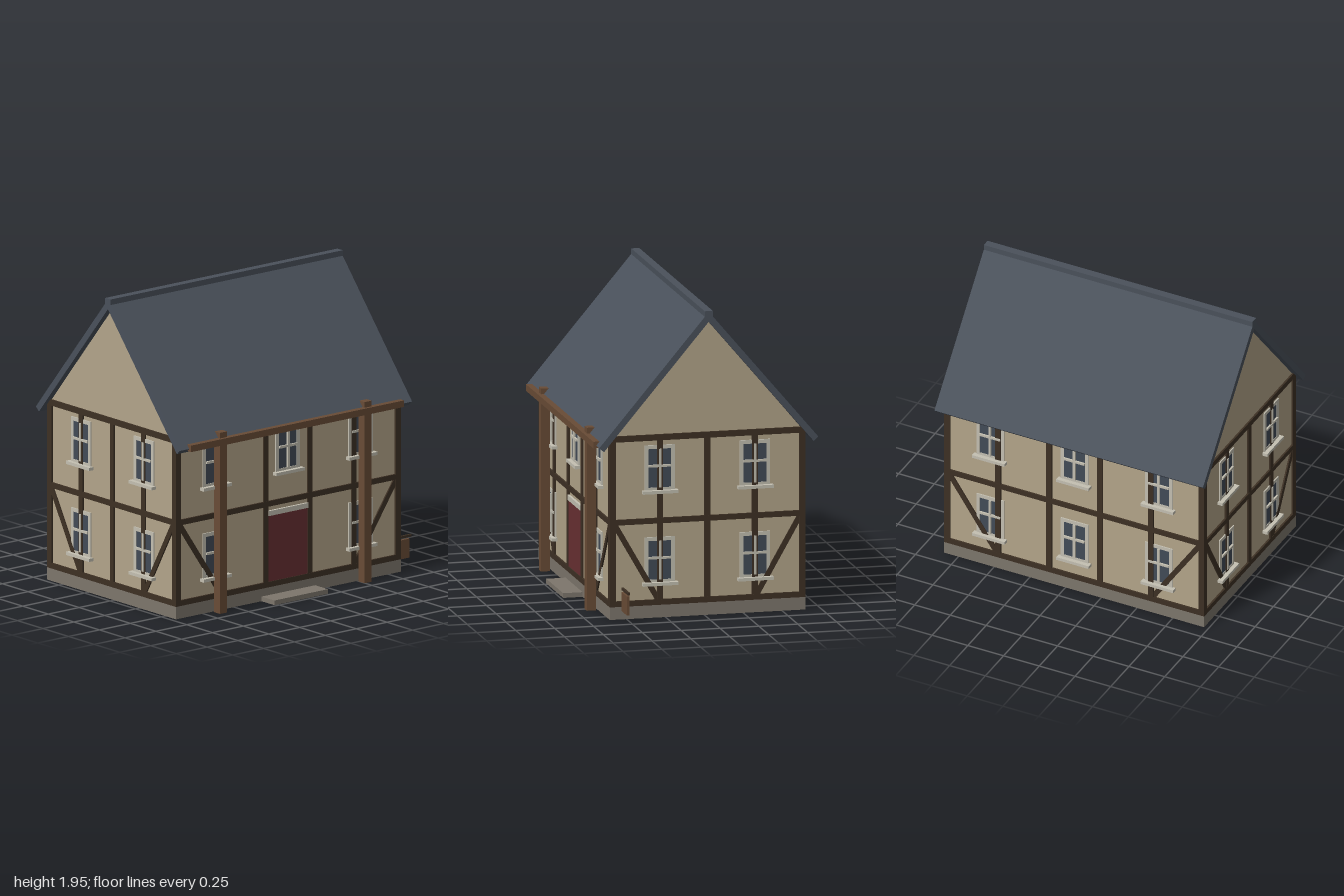
import * as THREE from 'three';

const mat = (name, color) => {
  const m = new THREE.MeshStandardMaterial({ color });
  m.name = name;
  return m;
};

export function createModel() {
  const plaster = mat('plaster', 0xb3a58a);
  const timber = mat('darkTimber', 0x3d3024);
  const slate = mat('slateRoof', 0x4a515b);
  const stone = mat('stone', 0x7d766c);
  const trim = mat('paleTrim', 0xc4c0b2);
  const glass = mat('windowGlass', 0x424b57);
  const red = mat('doorRed', 0x682f32);
  const oak = mat('brownOak', 0x694c36);

  const house = new THREE.Group();
  house.name = 'timberFramedHouse';
  const CX = -0.06, CZ = -0.021, HX = 0.91, HZ = 0.629; // body centre and half sizes
  const INSET = 0.012;                                  // plaster behind timber face

  // Box given by its minimum and maximum corners
  const box = (parent, name, m, x0, x1, y0, y1, z0, z1) => {
    const mesh = new THREE.Mesh(new THREE.BoxGeometry(x1 - x0, y1 - y0, z1 - z0), m);
    mesh.position.set((x0 + x1) / 2, (y0 + y1) / 2, (z0 + z1) / 2);
    mesh.name = name;
    parent.add(mesh);
    return mesh;
  };

  // Profile in z and y, extruded along x about the body centre
  const alongX = (name, m, points, half, x = CX) => {
    const shape = new THREE.Shape(points.map(([a, b]) => new THREE.Vector2(a, b)));
    const geo = new THREE.ExtrudeGeometry(shape, { depth: 2 * half, bevelEnabled: false });
    geo.translate(0, 0, -half).rotateY(Math.PI / 2);
    const mesh = new THREE.Mesh(geo, m);
    mesh.position.set(x, 0, CZ);
    mesh.name = name;
    house.add(mesh);
  };

  // Stone base and plaster body with gables
  box(house, 'stoneBase', stone, CX - HX, CX + HX, 0, 0.08, CZ - HZ, CZ + HZ);
  const w = HZ - INSET;
  alongX('plasterWalls', plaster,
    [[-w, 0.08], [w, 0.08], [w, 1.145], [0, 1.885], [-w, 1.145]], HX - INSET);

  // Roof slabs and ridge cap
  alongX('roof', slate,
    [[0.674, 1.08], [0.704, 1.107], [0, 1.94], [-0.704, 1.107], [-0.674, 1.08], [0, 1.877]], 0.94);
  box(house, 'ridgeCap', slate, -1, 0.88, 1.898, 1.945, CZ - 0.026, CZ + 0.026);

  // Corner posts
  for (const sx of [-1, 1]) for (const sz of [-1, 1]) {
    const px = CX + sx * (HX - 0.02), pz = CZ + sz * (HZ - 0.02);
    box(house, 'cornerPost', timber, px - 0.02, px + 0.02, 0.08, 1.13, pz - 0.02, pz + 0.02);
  }

  // Window in wall coordinates: x along the wall, z outwards from the timber face
  const addWindow = (wall, x, y) => {
    const g = new THREE.Group();
    g.name = 'window';
    g.position.set(x, y, 0);
    wall.add(g);
    const W = 0.097, H = 0.295, T = 0.024;
    box(g, 'glass', glass, -W + T, W - T, T, H - T, -0.014, -0.007);
    for (const s of [-1, 1]) {
      const c = s * (W - T / 2);
      box(g, 'frameSide', trim, c - T / 2, c + T / 2, 0, H, -0.02, -0.004);
    }
    box(g, 'frameTop', trim, -W + T, W - T, H - T, H, -0.02, -0.004);
    box(g, 'frameBottom', trim, -W + T, W - T, 0, T, -0.02, -0.004);
    box(g, 'mullion', trim, -0.008, 0.008, T, H - T, -0.012, 0.004);
    box(g, 'transom', trim, -W + T, W - T, 0.155, 0.17, -0.012, 0.005);
    box(g, 'sill', trim, -0.114, 0.114, -0.012, 0.008, -0.02, 0.023);
  };

  // One framed wall: rails, studs, lower corner braces and windows
  const addWall = (name, angle, half, dist, bays, windows, hasDoor) => {
    const wall = new THREE.Group();
    wall.name = name;
    wall.rotation.y = angle;
    wall.position.set(CX + Math.sin(angle) * dist, 0, CZ + Math.cos(angle) * dist);
    house.add(wall);
    for (const [y0, y1] of [[0.08, 0.115], [0.6, 0.635], [1.13, 1.168]])
      box(wall, 'rail', timber, -half, half, y0, y1, -0.03, 0);
    const bay = 2 * (half - 0.02) / bays;
    for (let i = 1; i < bays; i++) {
      const x = -half + 0.02 + i * bay;
      box(wall, 'stud', timber, x - 0.019, x + 0.019, 0.1, 1.14, -0.03, -0.001);
    }
    for (const s of [-1, 1]) {
      const dx = bay - 0.025, dy = 0.49, len = Math.hypot(dx, dy);
      const brace = box(wall, 'brace', timber, -0.017, 0.017, -len / 2, len / 2, -0.03, -0.002);
      brace.position.x = s * (half - 0.035 - dx / 2);
      brace.position.y = 0.355;
      brace.rotation.z = -s * Math.atan2(dx, dy);
    }
    for (const x of windows) for (const y of [0.218, 0.805])
      if (!(hasDoor && x === 0 && y < 0.5)) addWindow(wall, x, y);
    if (hasDoor) {
      box(wall, 'door', red, -0.16, 0.16, 0.115, 0.54, -0.02, -0.005);
      box(wall, 'doorLintel', trim, -0.16, 0.16, 0.54, 0.572, -0.02, 0.004);
    }
  };
  addWall('frontWall', 0, HX, HZ, 5, [-0.59, 0, 0.59], true);
  addWall('backWall', Math.PI, HX, HZ, 5, [-0.59, 0, 0.59], false);
  addWall('leftWall', Math.PI / 2, HZ, HX, 4, [-0.306, 0.306], false);
  addWall('rightWall', -Math.PI / 2, HZ, HX, 4, [-0.306, 0.306], false);

  // Doorstep
  box(house, 'doorStep', stone, -0.277, 0.157, 0, 0.03, 0.6, 0.733);

  // Porch posts and cross beam
  for (const x of [-0.645, 0.525])
    box(house, 'porchPost', oak, x - 0.029, x + 0.029, 0, 1.168, 0.622, 0.681);
  box(house, 'porchBeam', oak, -0.925, 0.8, 1.09, 1.132, 0.655, 0.701);

  // Hanging sign at the side
  box(house, 'signBracket', timber, 0.84, 1, 0.185, 0.2, 0.515, 0.53);
  box(house, 'signBoard', oak, 0.85, 0.985, 0.053, 0.175, 0.514, 0.532);

  return house;
}
